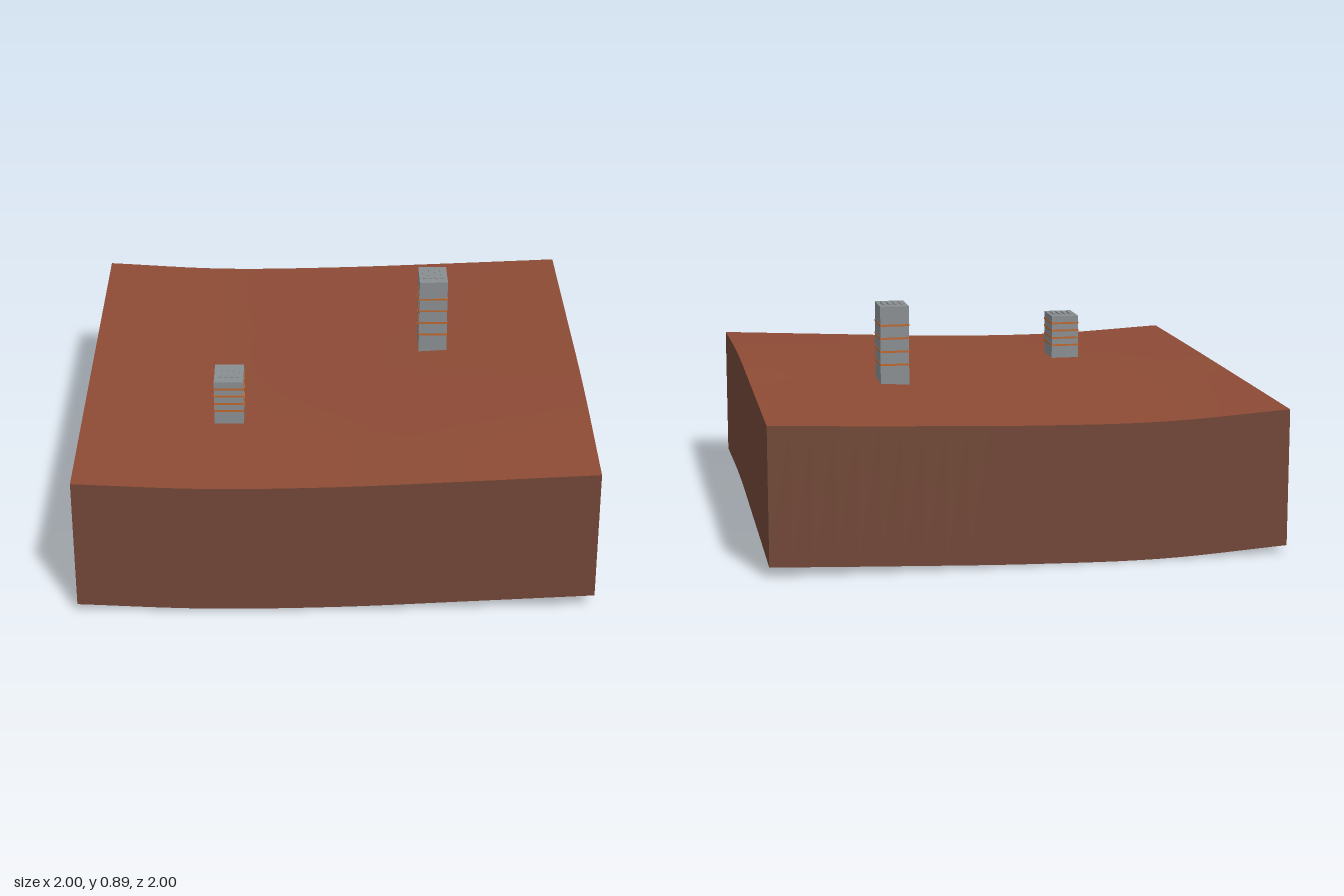
import * as THREE from 'three';

const mats = {
  soil: new THREE.MeshStandardMaterial({ name: 'red soil', color: 0x8d4b35, side: THREE.DoubleSide }),
  earth: new THREE.MeshStandardMaterial({ name: 'brown earth', color: 0x704636, side: THREE.DoubleSide }),
  concrete: new THREE.MeshStandardMaterial({ name: 'grey concrete', color: 0x888d90 }),
  orange: new THREE.MeshStandardMaterial({ name: 'orange', color: 0xbd652c }),
};

// Ground heights: four rows from back to front, five columns from left to right
const ROWS = [
  [0.568, 0.539, 0.543, 0.560, 0.580],
  [0.570, 0.548, 0.552, 0.576, 0.603],
  [0.571, 0.553, 0.560, 0.588, 0.621],
  [0.570, 0.547, 0.552, 0.575, 0.600],
];
const DEPTH = 0.536;

// Smooth curve through evenly spaced values, u from -1 to 1
function smooth(values, u) {
  const pts = values.map((v, i) => new THREE.Vector3(i, v, 0));
  return new THREE.CatmullRomCurve3(pts, false, 'catmullrom').getPoint((u + 1) / 2).y;
}
const groundHeight = (x, z) => smooth(ROWS.map((row) => smooth(row, x)), z);

function add(parent, name, geometry, material, x = 0, y = 0, z = 0) {
  const mesh = new THREE.Mesh(geometry, material);
  mesh.name = name;
  mesh.position.set(x, y, z);
  parent.add(mesh);
  return mesh;
}

// Rolling ground surface
function groundSurface() {
  const geo = new THREE.PlaneGeometry(2, 2, 24, 24).rotateX(-Math.PI / 2);
  const p = geo.attributes.position;
  for (let i = 0; i < p.count; i++) p.setY(i, groundHeight(p.getX(i), p.getZ(i)));
  geo.computeVertexNormals();
  return geo;
}

// Wall hanging from one edge of the ground, open underneath
function edgeWall(turn) {
  const geo = new THREE.PlaneGeometry(2, 1, 24, 1).translate(0, 0, 1).rotateY(turn);
  const p = geo.attributes.position;
  for (let i = 0; i < p.count; i++) {
    const h = groundHeight(p.getX(i), p.getZ(i));
    p.setY(i, p.getY(i) > 0 ? h : h - DEPTH);
  }
  return geo;
}

// Block with orange floor bands and raised roof strips
function tower(name, x, z, base, top, bands) {
  const W = 0.116, D = 0.154;
  const group = new THREE.Group();
  group.name = name;
  group.position.set(x, 0, z);
  const roof = top - 0.005;
  add(group, 'towerBody', new THREE.BoxGeometry(W, roof - base, D), mats.concrete, 0, (roof + base) / 2, 0);
  for (const y of bands) {
    add(group, 'floorBand', new THREE.BoxGeometry(W + 0.003, 0.008, D + 0.003), mats.orange, 0, y, 0);
  }
  for (let i = 0; i < 4; i++) {
    add(group, 'roofStrip', new THREE.BoxGeometry(0.013, 0.006, 0.08), mats.concrete, (i - 1.5) * 0.024, top - 0.003, 0);
  }
  return group;
}

export function createModel() {
  const model = new THREE.Group();
  model.name = 'groundBlockWithTowers';
  add(model, 'groundSurface', groundSurface(), mats.soil);
  ['frontWall', 'leftWall', 'backWall', 'rightWall'].forEach((name, i) => {
    add(model, name, edgeWall(i * Math.PI / 2), mats.earth);
  });
  model.add(tower('tallTower', 0.413, -0.167, 0.555, 0.895, [0.653, 0.706, 0.76, 0.813]));
  model.add(tower('shortTower', -0.418, 0.417, 0.535, 0.74, [0.608, 0.64, 0.672, 0.704]));

  // Rest the lowest edge on y = 0
  const low = new THREE.Box3().setFromObject(model).min.y;
  model.children.forEach((part) => { part.position.y -= low; });
  return model;
}
